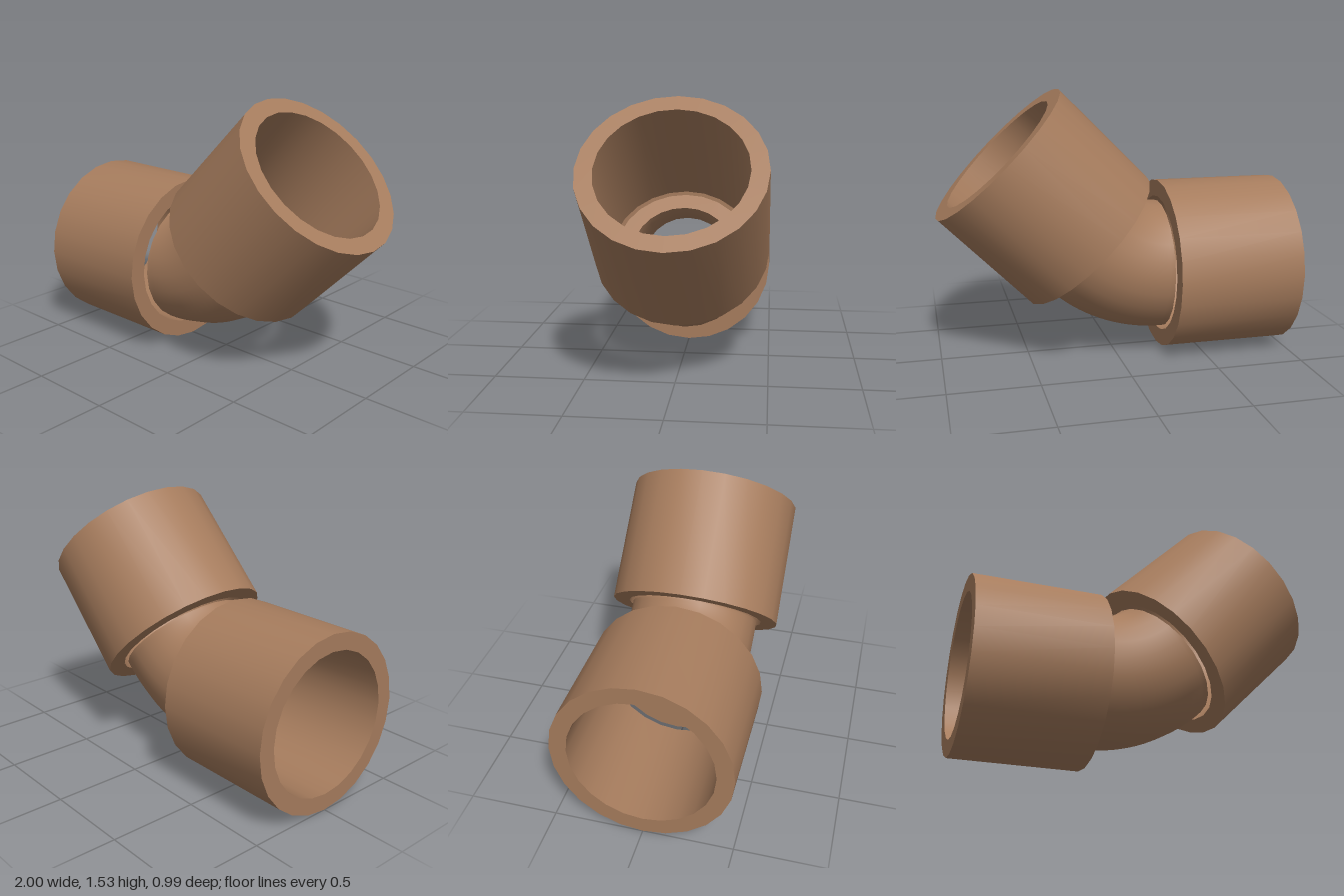
import * as THREE from 'three';
import { toCreasedNormals } from 'three/addons/utils/BufferGeometryUtils.js';

const SIDES = 24;
const SOCKET = { outer: 0.495, inner: 0.4, length: 0.718 };
const PIPE = { outer: 0.375, inner: 0.28 };
const BEND = { radius: 0.6, angle: Math.PI / 4, x: -0.282, y: 0.495 };

// Centre line of the bend: an arc that leaves along +x and turns upward
class BendCurve extends THREE.Curve {
  getPoint(t, target = new THREE.Vector3()) {
    const a = t * BEND.angle;
    return target.set(
      BEND.x + BEND.radius * Math.sin(a),
      BEND.y + BEND.radius * (1 - Math.cos(a)),
      0
    );
  }
}

// Thick-walled sleeve standing on its own origin along +y
function socketGeometry() {
  const { outer, inner, length } = SOCKET;
  const profile = [[outer, 0], [outer, length], [inner, length], [inner, 0], [outer, 0]]
    .map(([r, y]) => new THREE.Vector2(r, y));
  return toCreasedNormals(new THREE.LatheGeometry(profile, SIDES), Math.PI / 5);
}

// Hollow pipe swept along the bend
function bendGeometry() {
  const ring = new THREE.Shape().absarc(0, 0, PIPE.outer, 0, Math.PI * 2, false);
  ring.holes.push(new THREE.Path().absarc(0, 0, PIPE.inner, 0, Math.PI * 2, true));
  const geometry = new THREE.ExtrudeGeometry(ring, {
    steps: 16,
    curveSegments: SIDES / 2,
    extrudePath: new BendCurve(),
  });
  return toCreasedNormals(geometry, Math.PI / 5);
}

export function createModel() {
  const brown = new THREE.MeshStandardMaterial({ color: 0xa67c5d });
  brown.name = 'brown';
  const group = new THREE.Group();
  group.name = 'pipeElbow';

  const add = (name, geometry) => {
    const mesh = new THREE.Mesh(geometry, brown);
    mesh.name = name;
    group.add(mesh);
    return mesh;
  };

  add('bend', bendGeometry());

  // Sockets butt against the two ends of the bend
  const curve = new BendCurve();
  const socket = socketGeometry();
  const lower = add('lowerSocket', socket);
  lower.position.copy(curve.getPoint(0));
  lower.rotation.z = Math.PI / 2;
  const upper = add('upperSocket', socket);
  upper.position.copy(curve.getPoint(1));
  upper.rotation.z = BEND.angle - Math.PI / 2;

  return group;
}
